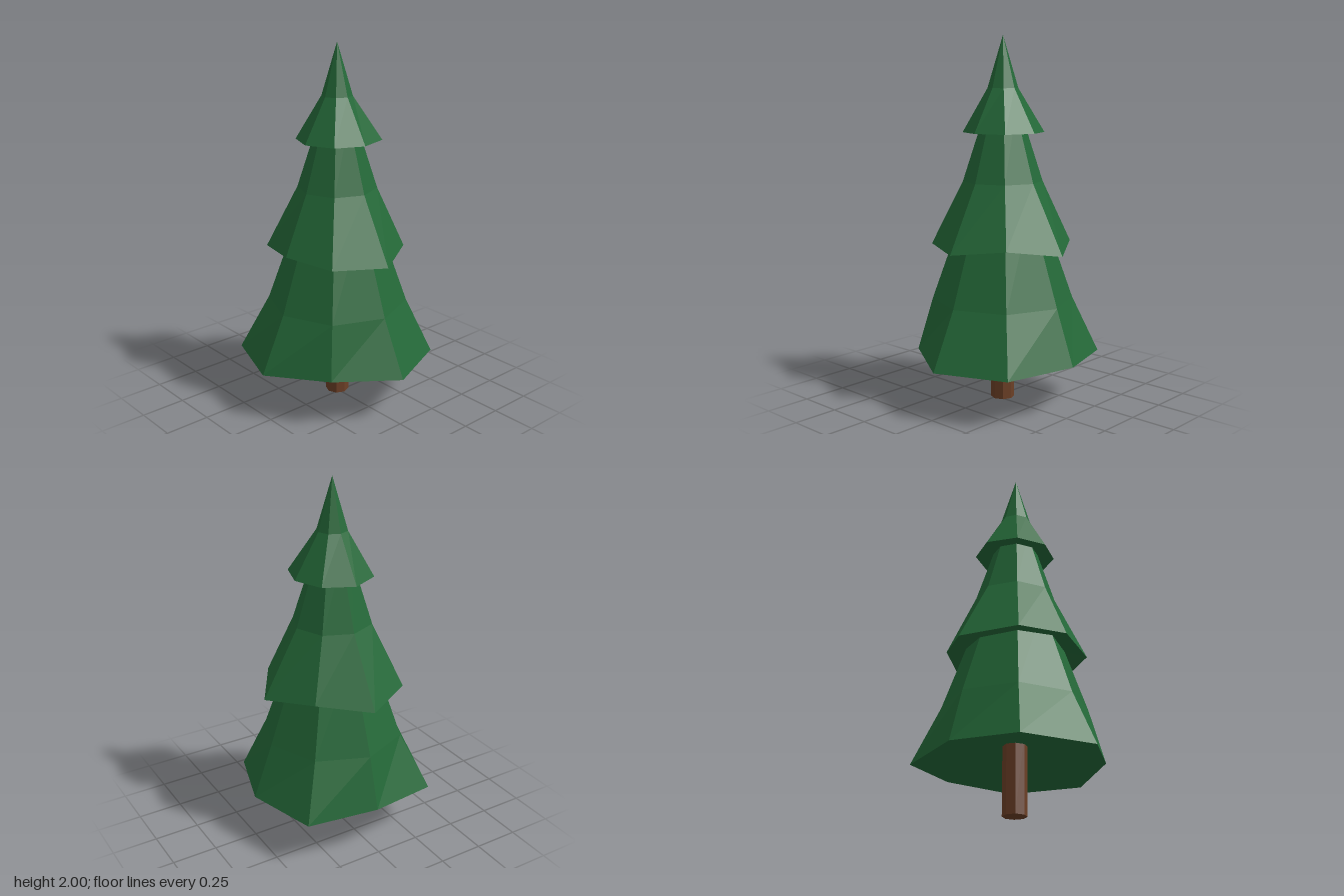
import * as THREE from 'three';

const SIDES = 8;

// Faceted solid through a stack of rings; ring points are [radius, y] per side, listed from bottom to top.
function ringSolid(rings) {
  const point = ([r, y], i) => {
    const a = (i / SIDES) * Math.PI * 2;
    return new THREE.Vector3(r * Math.cos(a), y, r * Math.sin(a));
  };
  const points = [];
  for (let k = 0; k < rings.length - 1; k++) {
    for (let i = 0; i < SIDES; i++) {
      const j = (i + 1) % SIDES;
      const a = point(rings[k][i], i), b = point(rings[k][j], j);
      const c = point(rings[k + 1][i], i), d = point(rings[k + 1][j], j);
      if (a.distanceTo(b) > 1e-6) points.push(a, c, b);
      if (c.distanceTo(d) > 1e-6) points.push(b, c, d);
    }
  }
  const geometry = new THREE.BufferGeometry().setFromPoints(points);
  geometry.computeVertexNormals();
  return geometry;
}

const evenRing = (r, y) => Array.from({ length: SIDES }, () => [r, y]);

// Rim radii run from +x through +z, -x and -z; wider corners droop lower.
const tiers = [
  {
    name: 'lowerBranches',
    rim: [0.498, 0.535, 0.535, 0.47, 0.533, 0.557, 0.467, 0.535],
    rimY: (r) => 0.44 - 0.335 * r,
    hub: 0.38, kink: [0.387, 0.57], top: [0.2, 1.1],
  },
  {
    name: 'middleBranches',
    rim: [0.42, 0.366, 0.407, 0.388, 0.36, 0.392, 0.423, 0.37],
    rimY: (r) => 1.165 - 0.74 * r,
    hub: 0.97, kink: [0.217, 1.22], top: [0.095, 1.6],
  },
  {
    name: 'topBranches',
    rim: [0.224, 0.241, 0.222, 0.217, 0.221, 0.223, 0.235, 0.225],
    rimY: () => 1.485,
    hub: 1.53, kink: [0.083, 1.72], top: [0, 2],
  },
];

export function createModel() {
  const tree = new THREE.Group();
  tree.name = 'pineTree';
  const green = new THREE.MeshStandardMaterial({ color: 0x246838 });
  green.name = 'needleGreen';
  green.flatShading = true;
  const brown = new THREE.MeshStandardMaterial({ color: 0x6b3f26 });
  brown.name = 'barkBrown';
  brown.flatShading = true;

  // Trunk
  const trunk = new THREE.Mesh(new THREE.CylinderGeometry(0.065, 0.065, 0.42, SIDES), brown);
  trunk.name = 'trunk';
  trunk.position.y = 0.21;
  tree.add(trunk);

  // Branch tiers: hollowed underside, uneven rim, kinked slope
  for (const t of tiers) {
    const rim = t.rim.map((r) => [r, t.rimY(r)]);
    const rings = [evenRing(0, t.hub), rim, evenRing(...t.kink), evenRing(...t.top)];
    if (t.top[0] > 0) rings.push(evenRing(0, t.top[1]));
    const mesh = new THREE.Mesh(ringSolid(rings), green);
    mesh.name = t.name;
    tree.add(mesh);
  }

  // The trunk axis sits slightly off the middle of the uneven crown
  tree.children.forEach((part) => {
    part.position.x = 0.015;
    part.position.z = -0.035;
  });
  return tree;
}
